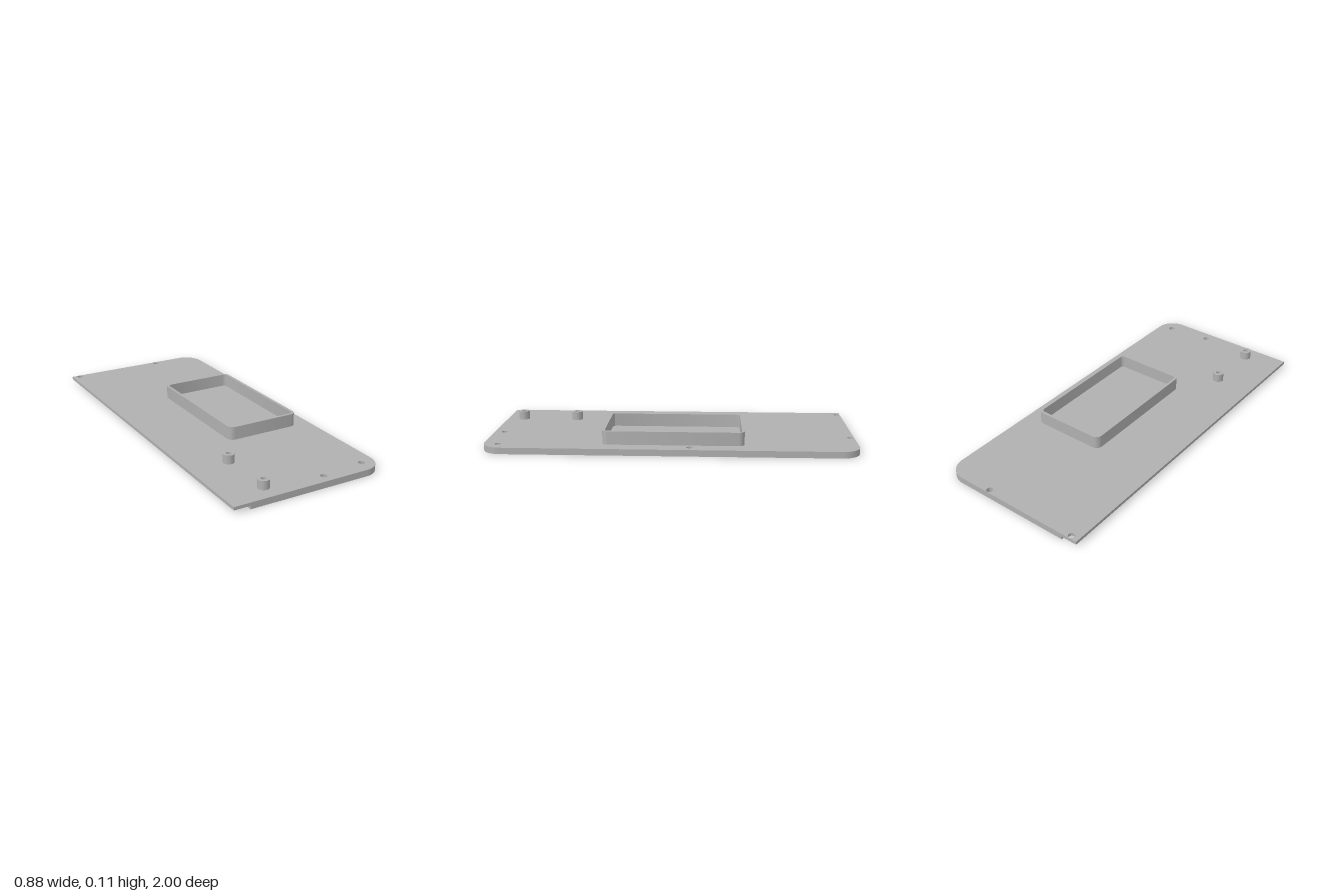
import * as THREE from 'three';
import { toCreasedNormals } from 'three/addons/utils/BufferGeometryUtils.js';

const RIGHT = 0.436, LEFT = -0.44, STEP = -0.35, TOP = 0.035;

// screw holes as [x, z]
const screwHoles = [[-0.395, -0.98], [0.148, -0.98], [0.385, -0.105], [0.104, 0.945], [0.358, 0.92]];

// Shapes are drawn in plan with y = -z
function circlePath(x, z, r) {
  return new THREE.Path().absarc(x, -z, r, 0, Math.PI * 2, true);
}

// plate outline: square corners at the left, rounded at the right
function plateShape(x0) {
  const r = 0.105;
  const s = new THREE.Shape();
  s.moveTo(x0, -1);
  s.lineTo(RIGHT - r, -1);
  s.absarc(RIGHT - r, -1 + r, r, -Math.PI / 2, 0, false);
  s.lineTo(RIGHT, 1 - r);
  s.absarc(RIGHT - r, 1 - r, r, 0, Math.PI / 2, false);
  s.lineTo(x0, 1);
  s.closePath();
  return s;
}

function addHoles(shape, minX) {
  for (const [x, z] of screwHoles) {
    if (x > minX) shape.holes.push(circlePath(x, z, 0.0175));
  }
  return shape;
}

function roundedRect(target, x0, x1, z0, z1, r) {
  const b = -z1, t = -z0, q = Math.PI / 2;
  target.moveTo(x0 + r, b);
  target.absarc(x1 - r, b + r, r, -q, 0, false);
  target.absarc(x1 - r, t - r, r, 0, q, false);
  target.absarc(x0 + r, t - r, r, q, 2 * q, false);
  target.absarc(x0 + r, b + r, r, 2 * q, 3 * q, false);
  target.closePath();
  return target;
}

export function createModel() {
  const group = new THREE.Group();
  const grey = new THREE.MeshStandardMaterial({ color: 0xb0b0b0 });
  grey.name = 'grey';

  // extrude a plan shape between two heights
  function slab(name, shape, y0, y1) {
    const g = new THREE.ExtrudeGeometry(shape, { depth: y1 - y0, bevelEnabled: false, curveSegments: 16 });
    g.rotateX(-Math.PI / 2);
    g.translate(0, y0, 0);
    const mesh = new THREE.Mesh(toCreasedNormals(g, 0.6), grey);
    mesh.name = name;
    group.add(mesh);
  }

  // cover plate with a stepped left edge
  slab('coverPlate', addHoles(plateShape(LEFT), -1), 0.018, TOP);
  slab('lowerPlate', addHoles(plateShape(STEP), STEP), 0.004, 0.018);

  // shallow rim on the underside, open at the left
  const inX = 0.364, front = -0.925, back = 0.96, r = 0.07;
  const rim = plateShape(STEP);
  rim.lineTo(STEP, 1);
  rim.curves.pop();
  rim.curves.pop();
  rim.currentPoint.set(STEP, 1);
  rim.lineTo(STEP, back);
  rim.lineTo(inX - r, back);
  rim.absarc(inX - r, back - r, r, Math.PI / 2, 0, true);
  rim.lineTo(inX, front + r);
  rim.absarc(inX - r, front + r, r, 0, -Math.PI / 2, true);
  rim.lineTo(STEP, front);
  rim.closePath();
  slab('undersideRim', addHoles(rim, STEP), 0, 0.004);

  // raised rectangular frame
  const frame = roundedRect(new THREE.Shape(), -0.078, 0.348, -0.395, 0.365, 0.035);
  frame.holes.push(roundedRect(new THREE.Path(), -0.063, 0.333, -0.38, 0.35, 0.02));
  slab('raisedFrame', frame, TOP, 0.108);

  // hollow standoffs
  for (const z of [0.582, 0.902]) {
    const ring = new THREE.Shape().absarc(-0.218, -z, 0.031, 0, Math.PI * 2, false);
    ring.holes.push(circlePath(-0.218, z, 0.014));
    slab('standoff', ring, TOP, 0.083);
  }
  return group;
}
